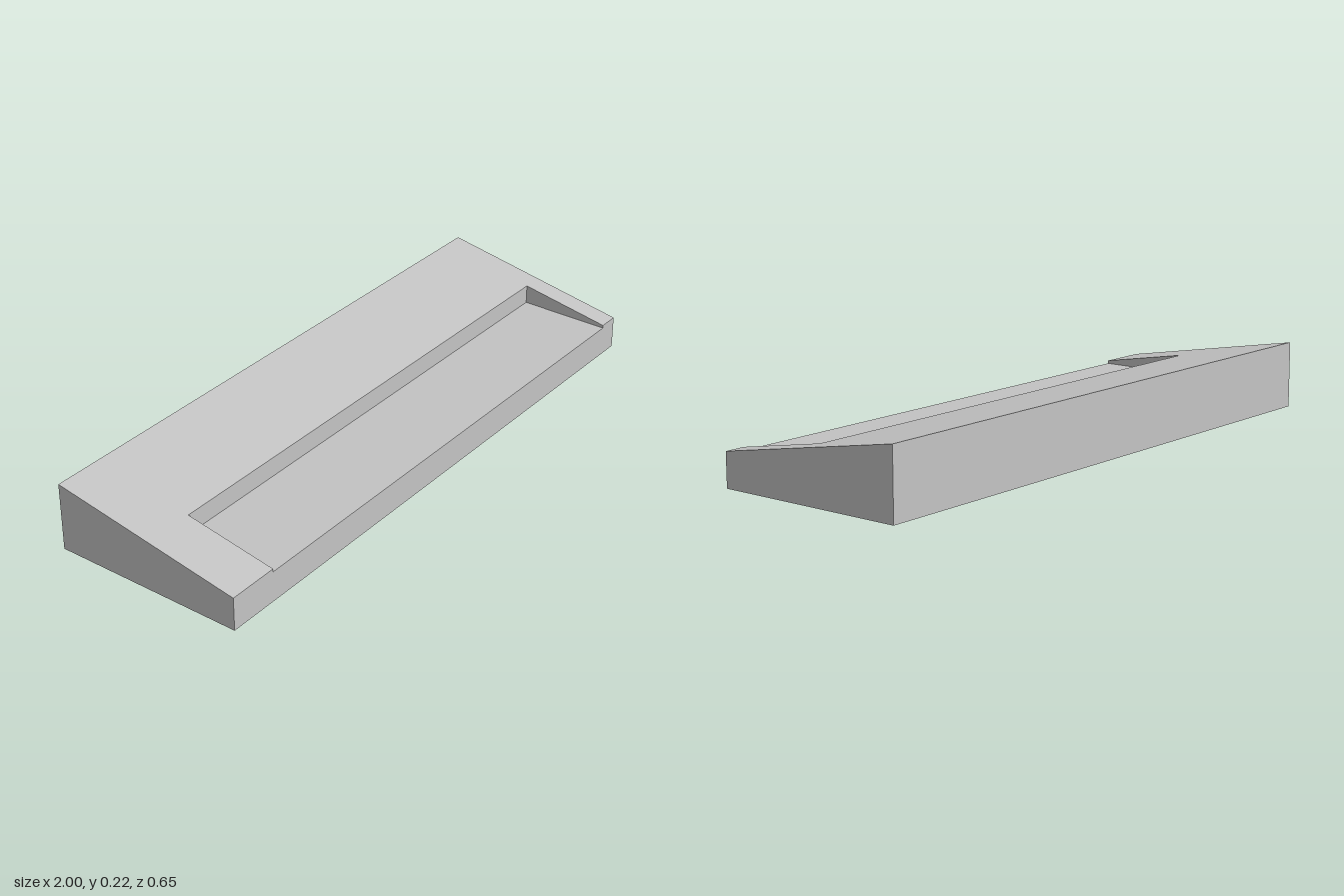
import * as THREE from 'three';

const FRONT = 0.323, BACK = -0.323, MID = 0.015; // z of front, back and recess wall
const LOW = 0.11, HIGH = 0.223, FLOOR = 0.1;     // heights of front edge, back edge and recess floor
const slope = z => LOW + (HIGH - LOW) * (FRONT - z) / (FRONT - BACK);

// Side profile as [z, y]: full wedge, or wedge with the recess cut in
function profile(cut) {
  return [
    [FRONT, 0], [BACK, 0], [BACK, HIGH], [MID, slope(MID)],
    [MID, cut ? FLOOR : slope(MID)], [FRONT, cut ? FLOOR : LOW],
  ];
}

// Joins cross-sections along x and caps both ends, leaving out empty triangles
function loft(sections) {
  const rings = sections.map(([x, cut]) => profile(cut).map(([z, y]) => new THREE.Vector3(x, y, z)));
  const points = [];
  const tri = (a, b, c) => {
    if (new THREE.Triangle(a, b, c).getArea() > 1e-6) points.push(a, b, c);
  };
  for (let s = 0; s < rings.length - 1; s++) {
    const p = rings[s], q = rings[s + 1];
    for (let i = 0; i < p.length; i++) {
      const j = (i + 1) % p.length;
      tri(p[i], p[j], q[j]);
      tri(p[i], q[j], q[i]);
    }
  }
  const first = rings[0], last = rings[rings.length - 1];
  for (let k = 1; k < first.length - 1; k++) {
    tri(first[0], first[k + 1], first[k]);
    tri(last[0], last[k], last[k + 1]);
  }
  const geometry = new THREE.BufferGeometry().setFromPoints(points);
  geometry.computeVertexNormals();
  return geometry;
}

export function createModel() {
  const group = new THREE.Group();
  group.name = 'recessedWedge';
  const grey = new THREE.MeshStandardMaterial({ color: 0xc4c4c4 });
  grey.name = 'light grey';

  // Wedge body with an off-centre recess open to the front
  const body = new THREE.Mesh(loft([
    [-1, false], [-0.83, false], [-0.83, true],
    [0.93, true], [0.93, false], [1, false],
  ]), grey);
  body.name = 'wedgeBody';
  group.add(body);
  return group;
}
